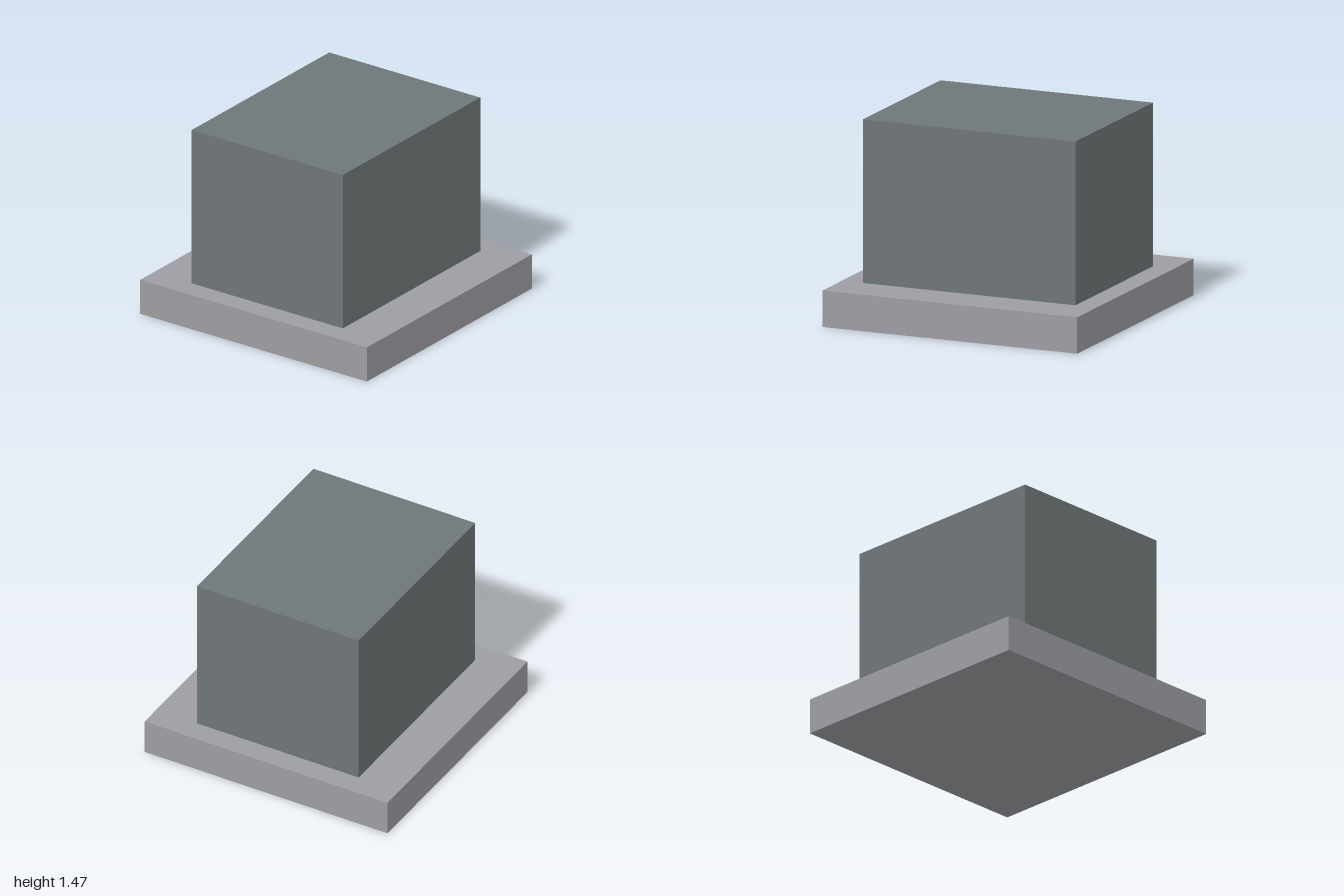
import * as THREE from 'three';

const baseHeight = 0.267;
const blockHeight = 1.2;

function box(name, width, height, depth, bottom, material) {
  const mesh = new THREE.Mesh(new THREE.BoxGeometry(width, height, depth), material);
  mesh.name = name;
  mesh.position.y = bottom + height / 2;
  return mesh;
}

export function createModel() {
  const paleGrey = new THREE.MeshStandardMaterial({ color: 0x9e9da3 });
  paleGrey.name = 'paleGrey';
  const slateGrey = new THREE.MeshStandardMaterial({ color: 0x6f7678 });
  slateGrey.name = 'slateGrey';

  const model = new THREE.Group();
  model.name = 'blockOnPlinth';
  // Square plinth with a rectangular block centred on it
  model.add(
    box('plinth', 2, baseHeight, 2, 0, paleGrey),
    box('block', 1.667, blockHeight, 1.333, baseHeight, slateGrey),
  );
  return model;
}
